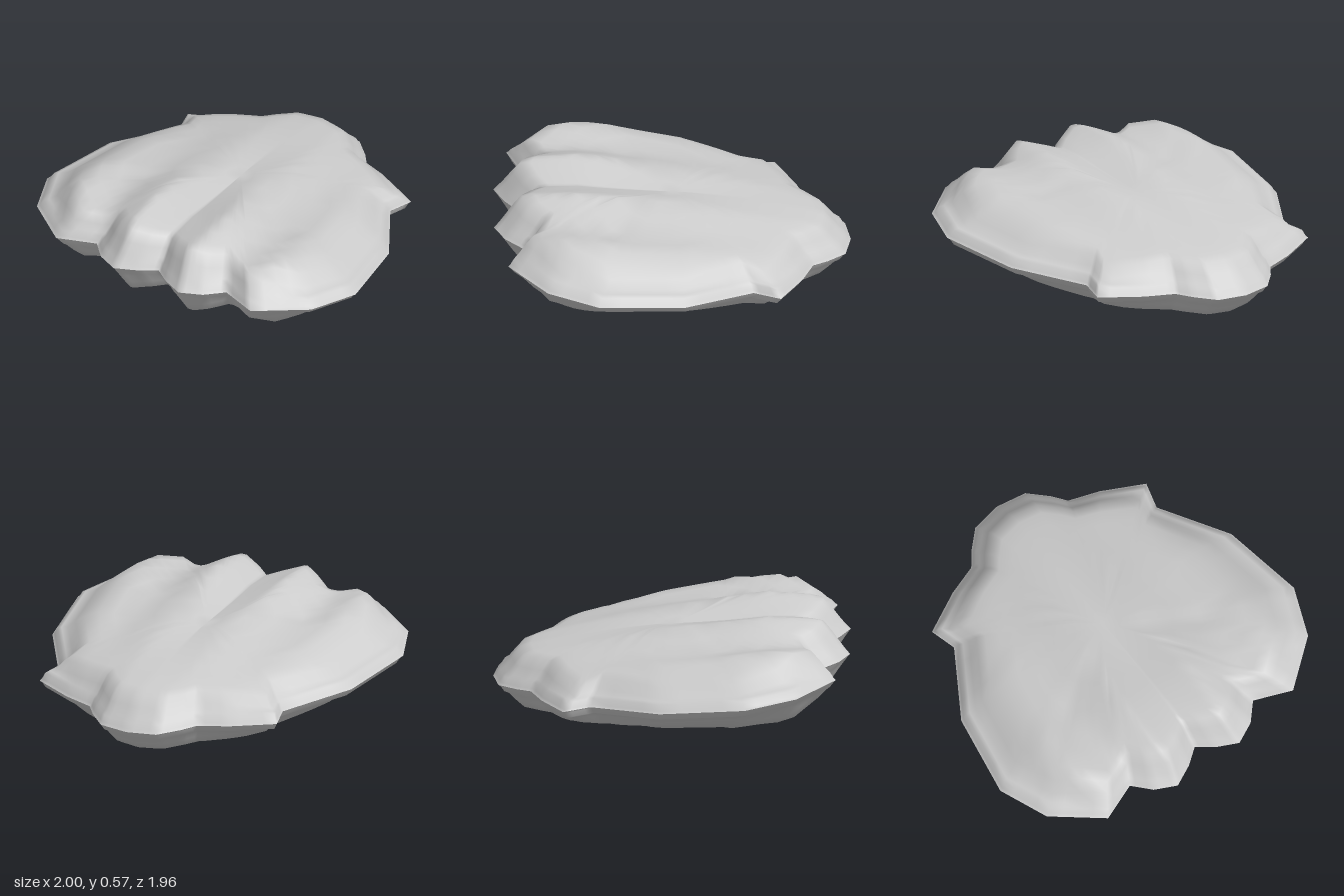
import * as THREE from 'three';

// Piecewise-linear lookup through [position, value] pairs
function lookup(table, t) {
  if (t <= table[0][0]) return table[0][1];
  for (let i = 1; i < table.length; i++) {
    const [a, va] = table[i - 1], [b, vb] = table[i];
    if (t <= b) return va + (vb - va) * (t - a) / (b - a);
  }
  return table[table.length - 1][1];
}

// Left half of the rim (x, z), from hinge knob to front notch
const RIM = [
  [0, -0.98], [0.17, -0.95], [0.27, -0.85], [0.33, -0.77], [0.5, -0.71], [0.73, -0.59],
  [0.69, -0.44], [0.92, -0.06], [1, 0.41], [0.89, 0.69], [0.63, 0.905], [0.42, 0.82],
  [0.33, 0.92], [0.21, 0.98], [0.09, 0.92], [0, 0.85],
];
// Shell height and half width along z
const HEIGHT = [[-0.98, 0.15], [-0.86, 0.16], [-0.45, 0.204], [-0.08, 0.243], [0.51, 0.267], [0.81, 0.22], [0.98, 0.2]];
const WIDTH = [[-0.98, 0.42], [-0.6, 0.74], [-0.06, 0.92], [0.41, 1], [0.7, 0.95], [0.98, 0.92]];
// Cross-sections: ribbed at the front, plain at the hinge
const RIBBED = [[0, 0.72], [0.09, 0.83], [0.22, 1], [0.34, 0.81], [0.45, 0.62], [0.56, 0.7], [0.68, 0.81], [0.85, 0.4], [1, 0.22]];
const PLAIN = [[0, 1], [0.22, 0.97], [0.45, 0.85], [0.68, 0.68], [0.85, 0.47], [1, 0.25]];
// Rise from the rim inward, and the thin lip
const RISE = [[0.8, 1], [0.85, 0.95], [0.9, 0.66], [0.94, 0.38], [0.97, 0.18], [1, 0]];
const LIP = [[0.9, 0.055], [0.94, 0.052], [0.965, 0.042], [0.985, 0.01], [1, 0]];
const RINGS = [1, 0.985, 0.965, 0.94, 0.9, 0.85, 0.79, 0.7, 0.6, 0.48, 0.34, 0.2, 0.08];

function shellHeight(x, z, s) {
  const q = Math.abs(x) / lookup(WIDTH, z);
  const blend = THREE.MathUtils.smoothstep(z, -0.7, 0.5);
  const section = THREE.MathUtils.lerp(lookup(PLAIN, q), lookup(RIBBED, q), blend);
  return Math.max(lookup(HEIGHT, z) * section * lookup(RISE, s), lookup(LIP, s));
}

// Full rim loop, each edge divided
function rimLoop(divisions) {
  const corners = [...RIM, ...RIM.slice(1, -1).reverse().map(([x, z]) => [-x, z])];
  const loop = [];
  corners.forEach(([x, z], i) => {
    const [nx, nz] = corners[(i + 1) % corners.length];
    for (let k = 0; k < divisions; k++) {
      const t = k / divisions;
      loop.push([x + (nx - x) * t, z + (nz - z) * t]);
    }
  });
  return loop;
}

// One valve: rings shrinking toward the middle; side is +1 upper, -1 lower
function valveGeometry(side) {
  const loop = rimLoop(4), n = loop.length;
  const positions = [], index = [];
  const add = (x, z, s) => positions.push(x, 0.255 + 0.104 * z + side * shellHeight(x, z, s), z);
  const face = (a, b, c) => (side > 0 ? index.push(a, c, b) : index.push(a, b, c));
  for (const s of RINGS) for (const [x, z] of loop) add(x * s, z * s, s);
  add(0, 0, 0);
  const centre = RINGS.length * n;
  for (let r = 0; r < RINGS.length; r++) {
    for (let i = 0; i < n; i++) {
      const j = (i + 1) % n, a = r * n + i, b = r * n + j;
      if (r === RINGS.length - 1) face(a, b, centre);
      else {
        face(a, b, b + n);
        face(a, b + n, a + n);
      }
    }
  }
  const geometry = new THREE.BufferGeometry();
  geometry.setAttribute('position', new THREE.Float32BufferAttribute(positions, 3));
  geometry.setIndex(index);
  geometry.computeVertexNormals();
  return geometry;
}

export function createModel() {
  const group = new THREE.Group();
  group.name = 'clamShell';
  const material = new THREE.MeshStandardMaterial({ color: 0xcccccc, side: THREE.DoubleSide });
  for (const [name, side] of [['upperShell', 1], ['lowerShell', -1]]) {
    const mesh = new THREE.Mesh(valveGeometry(side), material);
    mesh.name = name;
    group.add(mesh);
  }
  return group;
}
